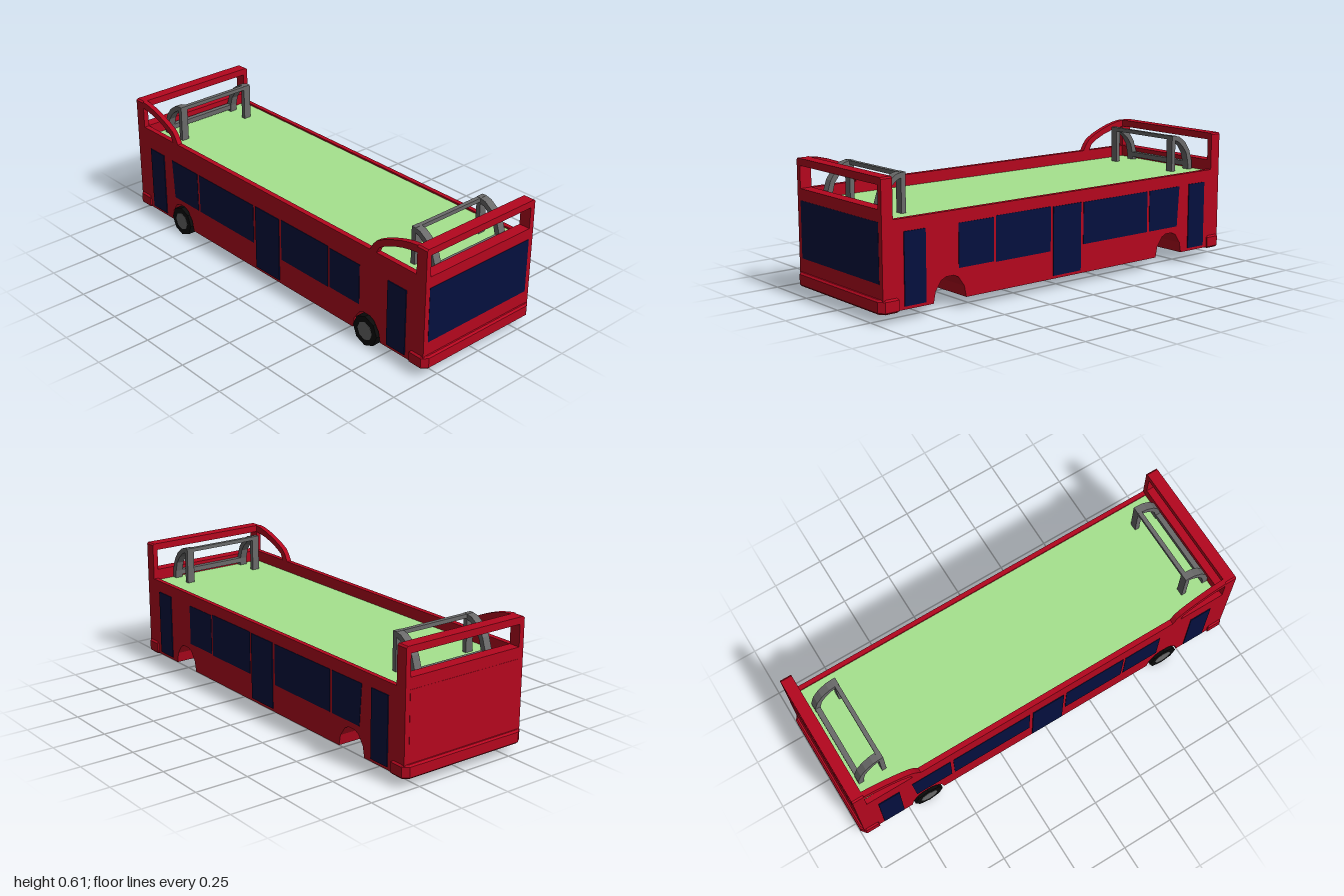
import * as THREE from 'three';

const mat = (color) => new THREE.MeshStandardMaterial({ color, flatShading: true });

export function createModel() {
  const bus = new THREE.Group();
  const red = mat(0xb4061e), navy = mat(0x040f3e), green = mat(0xa6e38e);
  const grey = mat(0x6a6a6a), black = mat(0x0a0a0a);

  const add = (name, geometry, material, x = 0, y = 0, z = 0) => {
    const mesh = new THREE.Mesh(geometry, material);
    mesh.name = name;
    mesh.position.set(x, y, z);
    bus.add(mesh);
    return mesh;
  };
  const box = (name, material, x0, x1, y0, y1, z0, z1) =>
    add(name, new THREE.BoxGeometry(x1 - x0, y1 - y0, z1 - z0), material,
      (x0 + x1) / 2, (y0 + y1) / 2, (z0 + z1) / 2);
  const shapeOf = (pts) => new THREE.Shape(pts.map((p) => new THREE.Vector2(...p)));
  // Side outline (x, y) extruded between two z values
  const slab = (name, material, shape, z0, z1) =>
    add(name, new THREE.ExtrudeGeometry(shape, { depth: z1 - z0, bevelEnabled: false }), material, 0, 0, z0);

  const W = 0.322, L = 0.985, deckY = 0.422, rimY = 0.476, wheelX = 0.648;

  // Lower body with wheel arches cut right across
  const arch = [[-0.085, 0.05], [-0.075, 0.1], [-0.045, 0.143], [-0.02, 0.155],
    [0.02, 0.155], [0.045, 0.143], [0.075, 0.1], [0.085, 0.05]];
  slab('body', red, shapeOf([
    [-L, 0.05],
    ...arch.map(([x, y]) => [x - wheelX, y]),
    ...arch.map(([x, y]) => [x + wheelX, y]),
    [L, 0.05], [L, deckY], [-L, deckY],
  ]), -W, W);

  // Open upper deck floor, with a tall rim on one side and a low one on the other
  box('deck', green, -0.93, 0.93, deckY - 0.01, deckY + 0.002, -0.3, 0.297);
  box('frontRim', red, -0.93, 0.93, deckY, rimY, 0.297, W);
  box('backRim', red, -0.93, 0.93, deckY, 0.432, -W, -0.3);

  for (const e of [-1, 1]) {
    // End wall with wide opening
    const wall = shapeOf([[-W, deckY], [W, deckY], [W, 0.602], [W - 0.008, 0.609], [-W + 0.008, 0.609], [-W, 0.602]]);
    wall.holes.push(new THREE.Path([[-0.297, 0.477], [-0.297, 0.577], [0.297, 0.577], [0.297, 0.477]]
      .map((p) => new THREE.Vector2(...p))));
    const end = add('endWall', new THREE.ExtrudeGeometry(wall, { depth: 0.055, bevelEnabled: false }), red,
      e > 0 ? 0.93 : -L);
    end.rotation.y = Math.PI / 2;

    // Curved brace sweeping from the end wall down to the front rim
    slab('curvedBrace', red, shapeOf([[0.93, 0.609], [0.89, 0.604], [0.84, 0.592], [0.79, 0.575],
      [0.74, 0.554], [0.7, 0.532], [0.68, 0.51], [0.66, rimY], [0.7, rimY], [0.715, 0.505], [0.75, 0.526],
      [0.8, 0.548], [0.85, 0.563], [0.89, 0.571], [0.93, 0.576]].map(([x, y]) => [x * e, y])), 0.297, W);

    // Bumper with bevelled edges
    const plan = shapeOf([[0.918, -0.322], [0.975, -0.322], [0.992, -0.3], [0.992, 0.3], [0.975, 0.322], [0.918, 0.322]]
      .map(([x, z]) => [x * e, z]));
    const bumper = add('bumper', new THREE.ExtrudeGeometry(plan,
      { depth: 0.046, bevelThickness: 0.008, bevelSize: 0.008, bevelSegments: 1 }), red, 0, 0.052, 0);
    bumper.rotation.x = -Math.PI / 2;

    // Grey frame standing on the deck, both set slightly towards +x
    const frameX = (x) => x * e + 0.008;
    const span = (a, b) => [Math.min(frameX(a), frameX(b)), Math.max(frameX(a), frameX(b))];
    const strut = shapeOf([[0.8, 0.597], [0.83, 0.59], [0.87, 0.562], [0.9, 0.52], [0.92, 0.46], [0.92, deckY],
      [0.895, deckY], [0.892, 0.46], [0.88, 0.505], [0.855, 0.54], [0.825, 0.565], [0.8, 0.575]]
      .map(([x, y]) => [frameX(x), y]));
    for (const z of [-0.212, 0.175]) {
      box('framePost', grey, ...span(0.781, 0.803), deckY, 0.597, z, z + 0.037);
      slab('frameStrut', grey, strut, z, z + 0.037);
    }
    box('frameTopBar', grey, ...span(0.782, 0.802), 0.578, 0.596, -0.18, 0.18);
    box('frameLowBar', grey, ...span(0.894, 0.919), 0.438, 0.462, -0.18, 0.18);

    // Wheel and hub
    const wheelGeo = new THREE.CylinderGeometry(0.0725, 0.0725, 0.141, 8);
    add('wheel', wheelGeo.rotateX(Math.PI / 2), black, e * wheelX, 0.0725, 0.2605);
    const hubGeo = new THREE.CylinderGeometry(0.044, 0.044, 0.01, 8);
    add('hub', hubGeo.rotateX(Math.PI / 2), grey, e * wheelX, 0.0725, 0.327);
  }

  // Side windows, the outermost one slanted
  const windows = [
    [[-0.7, 0.182], [-0.515, 0.182], [-0.515, 0.375], [-0.713, 0.375]],
    [[-0.5, 0.182], [-0.1, 0.182], [-0.1, 0.375], [-0.5, 0.375]],
    [[0.095, 0.178], [0.403, 0.178], [0.403, 0.38], [0.095, 0.38]],
    [[0.415, 0.182], [0.602, 0.182], [0.602, 0.375], [0.415, 0.375]],
  ];
  const doors = [[-0.883, -0.777], [-0.083, 0.08], [0.772, 0.88]];
  for (const s of [-1, 1]) {
    const z = (d) => (s > 0 ? [W - 0.005, W + d] : [-W - d, -W + 0.005]);
    for (const w of windows) slab('sideWindow', navy, shapeOf(w), ...z(0.002));
    for (const [x0, x1] of doors) box('door', navy, x0, x1, 0.064, 0.377, ...z(0.004));
  }

  // End panels: glazed at one end, plain at the other
  box('endWindow', navy, L - 0.01, L + 0.001, 0.168, 0.425, -0.298, 0.298);
  box('endPanel', red, -L - 0.001, -L + 0.01, 0.135, 0.425, -0.298, 0.298);

  return bus;
}
